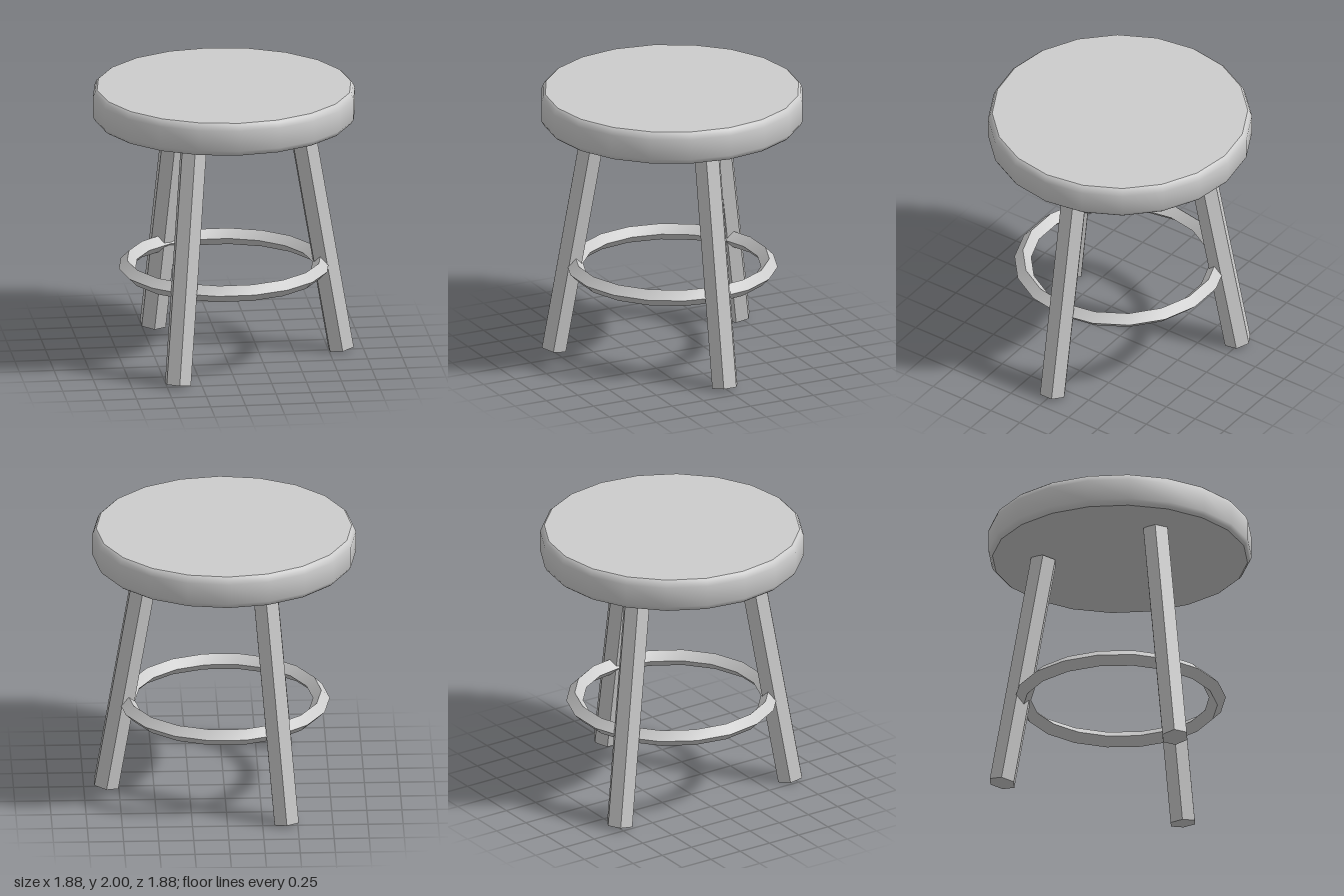
import * as THREE from 'three';
import { toCreasedNormals } from 'three/addons/utils/BufferGeometryUtils.js';

export function createModel() {
  const model = new THREE.Group();
  model.name = 'stool';
  const grey = new THREE.MeshStandardMaterial({ color: 0xcccccc });
  grey.name = 'light grey';

  const part = (name, geometry, parent = model) => {
    const mesh = new THREE.Mesh(toCreasedNormals(geometry, 0.6), grey);
    mesh.name = name;
    parent.add(mesh);
    return mesh;
  };

  // Round seat with bevelled rims
  const profile = [
    [0, 1.76], [0.91, 1.76], [0.925, 1.773], [0.94, 1.8],
    [0.94, 1.95], [0.925, 1.987], [0.91, 2], [0, 2],
  ].map(([r, y]) => new THREE.Vector2(r, y));
  part('seat', new THREE.LatheGeometry(profile, 20));

  // Three splayed hexagonal legs
  const foot = new THREE.Vector2(0.84, 0.015);
  const head = new THREE.Vector2(0.545, 1.755);
  for (let i = 0; i < 3; i++) {
    const pivot = new THREE.Group();
    pivot.name = `legPivot${i + 1}`;
    pivot.rotation.y = (i * Math.PI * 2) / 3;
    const leg = part('leg', new THREE.CylinderGeometry(0.1, 0.1, foot.distanceTo(head), 6), pivot);
    leg.position.set((foot.x + head.x) / 2, (foot.y + head.y) / 2, 0);
    leg.rotation.z = Math.atan2(foot.x - head.x, head.y - foot.y);
    model.add(pivot);
  }

  // Foot ring with a diamond cross-section
  const ring = new THREE.TorusGeometry(0.694, 0.06, 4, 18);
  ring.rotateX(Math.PI / 2);
  part('footRing', ring).position.y = 0.662;

  return model;
}
